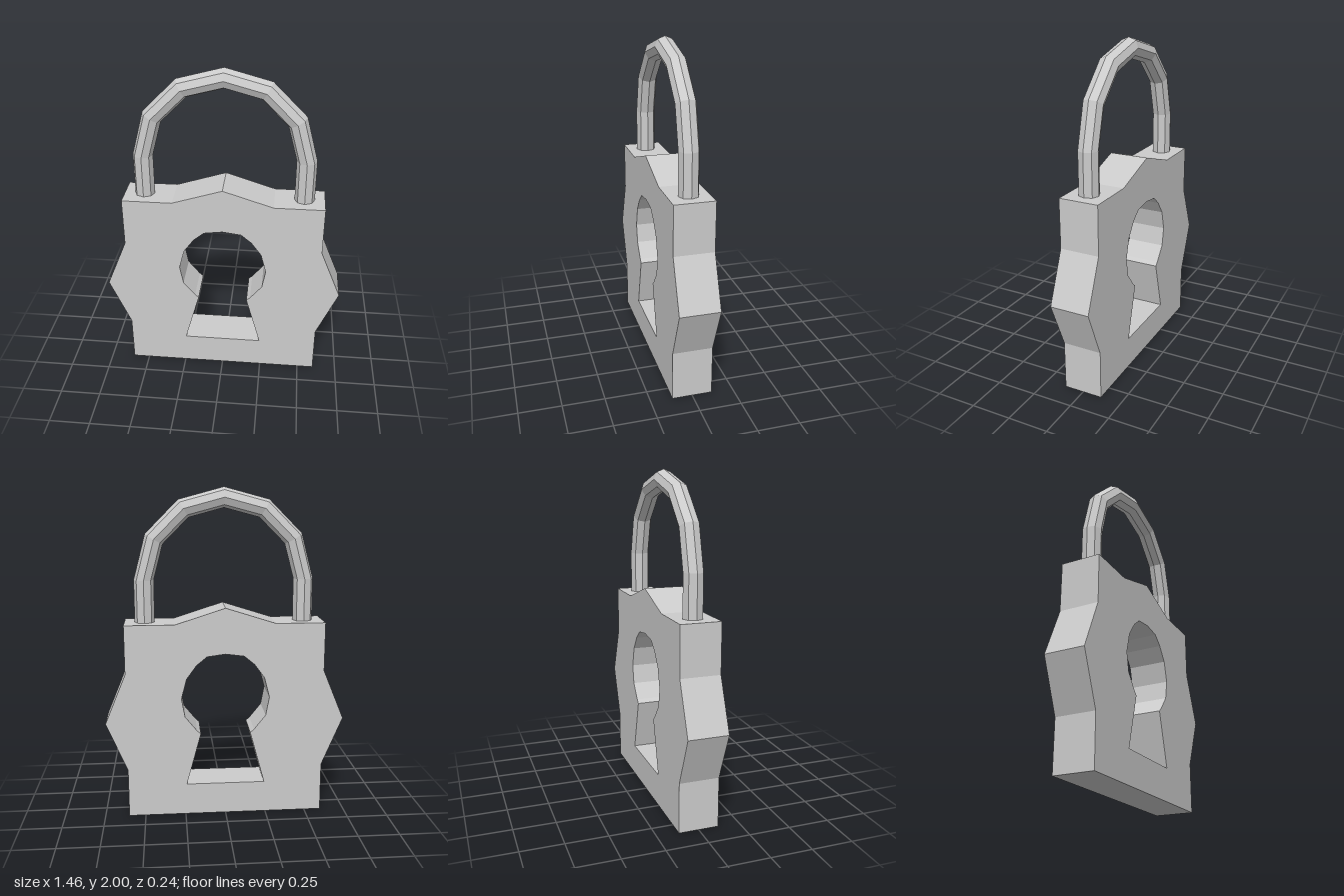
import * as THREE from 'three';

// Adds the mirrored half (x negated, reversed) to a right-hand half outline
function mirrored(half) {
  const left = half.filter(([x]) => x > 0).reverse().map(([x, y]) => [-x, y]);
  return [...half, ...left].map(([x, y]) => new THREE.Vector2(x, y));
}

export function createModel() {
  const model = new THREE.Group();
  model.name = 'padlock';
  const metal = new THREE.MeshStandardMaterial({ color: 0xcccccc, flatShading: true });
  const add = (name, geometry, parent) => {
    const mesh = new THREE.Mesh(geometry, metal);
    mesh.name = name;
    parent.add(mesh);
    return mesh;
  };

  // Body: plate with pointed sides and top, right half from bottom to peak
  const depth = 0.24;
  const outline = new THREE.Shape(mirrored([
    [0.602, 0], [0.602, 0.302], [0.728, 0.604], [0.602, 0.908],
    [0.602, 1.206], [0.302, 1.206], [0, 1.302],
  ]));

  // Keyhole: flared slot below a faceted round opening
  outline.holes.push(new THREE.Path(mirrored([
    [0.241, 0.198], [0.152, 0.525], [0.175, 0.545], [0.247, 0.635], [0.268, 0.75],
    [0.236, 0.873], [0.175, 0.957], [0.112, 1.009], [0, 1.024],
  ])));
  const plate = new THREE.ExtrudeGeometry(outline, { depth, bevelEnabled: false });
  plate.translate(0, 0, -depth / 2);
  add('body', plate, model);

  // Shackle: faceted half ring on two straight legs sunk slightly into the body
  const shackle = new THREE.Group();
  shackle.name = 'shackle';
  model.add(shackle);
  const radius = 0.48, tube = 0.06, springY = 1.46, footY = 1.19;
  add('shackleArch', new THREE.TorusGeometry(radius, tube, 8, 6, Math.PI), shackle)
    .position.y = springY;
  for (const side of [1, -1]) {
    const leg = new THREE.CylinderGeometry(tube, tube, springY - footY, 8, 1, true);
    add(side > 0 ? 'leftShackleLeg' : 'rightShackleLeg', leg, shackle)
      .position.set(side * radius, (springY + footY) / 2, 0);
  }

  return model;
}
